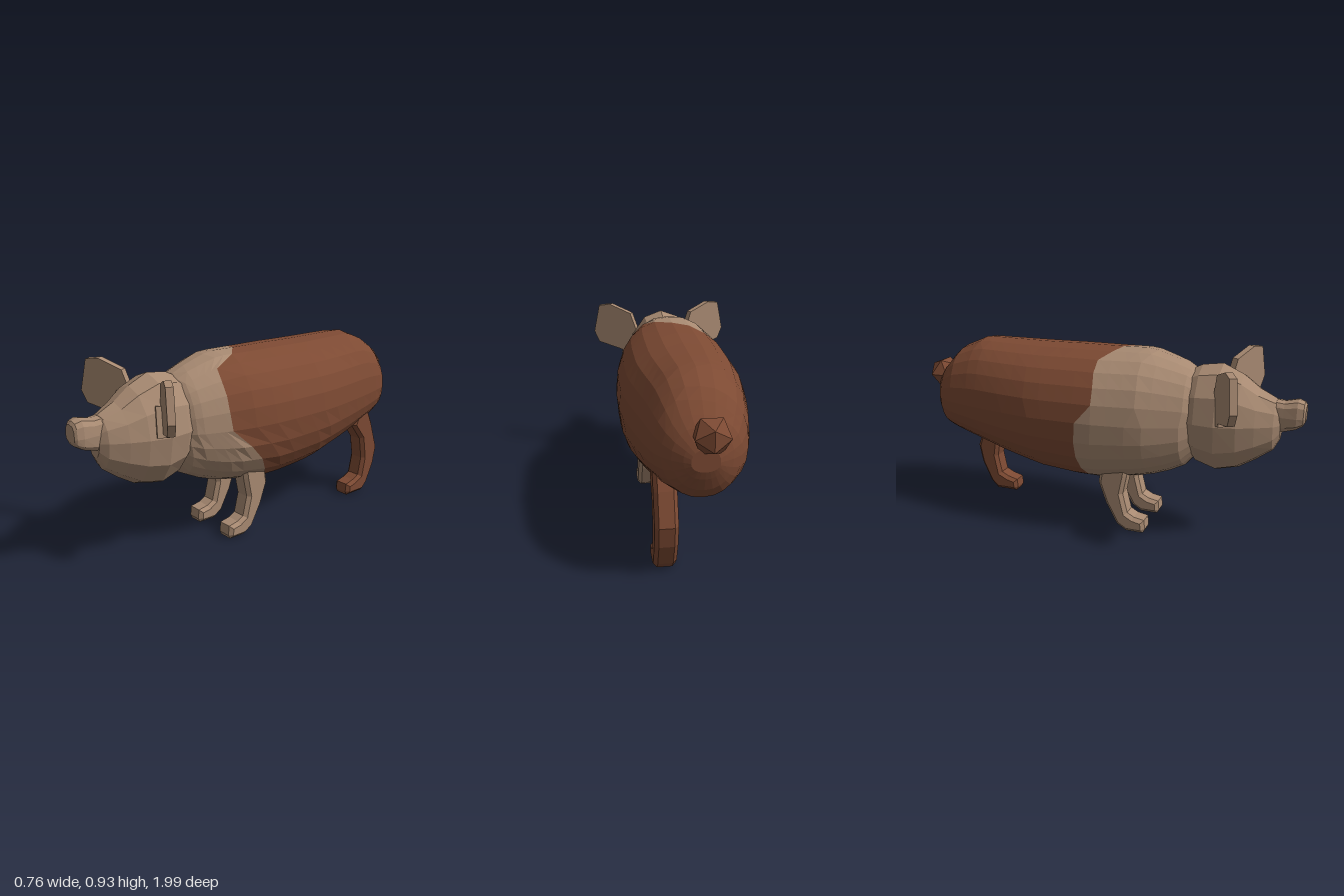
import * as THREE from 'three';

const tan = new THREE.MeshStandardMaterial({ color: 0xa88a72, flatShading: true });
tan.name = 'tan';
const brown = new THREE.MeshStandardMaterial({ color: 0x7d4a33, flatShading: true });
brown.name = 'brown';

// Cross-sections along z: [z, top, bottom, half width]
const BODY = [
  [-0.945, 0.66, 0.56, 0.06], [-0.92, 0.72, 0.48, 0.11], [-0.88, 0.77, 0.42, 0.16],
  [-0.8, 0.86, 0.4, 0.205], [-0.66, 0.92, 0.36, 0.24], [-0.5, 0.92, 0.31, 0.27],
  [-0.3, 0.92, 0.26, 0.3], [-0.1, 0.925, 0.24, 0.3], [0.02, 0.925, 0.24, 0.3],
  [0.25, 0.93, 0.28, 0.27], [0.35, 0.9, 0.31, 0.23], [0.45, 0.865, 0.36, 0.19], [0.52, 0.8, 0.45, 0.12],
];
const HEAD = [
  [0.42, 0.83, 0.5, 0.14], [0.5, 0.87, 0.38, 0.18], [0.6, 0.885, 0.345, 0.19], [0.7, 0.84, 0.37, 0.165],
  [0.78, 0.78, 0.42, 0.13], [0.86, 0.74, 0.48, 0.085], [0.89, 0.7, 0.54, 0.05],
];
const SNOUT = [
  [0.8, 0.74, 0.58, 0.05], [0.9, 0.73, 0.58, 0.055], [0.96, 0.745, 0.6, 0.058],
  [0.99, 0.735, 0.62, 0.05], [1.0, 0.72, 0.64, 0.04],
];

// z of the colour edge for each 15 degrees, from the top round by the left side
const EDGE = [0.1, 0.17, 0.3, 0.31, 0.31, 0.31, 0.3, 0.2, 0.12, 0.07, 0.03, 0,
  0, -0.01, -0.03, -0.05, -0.06, -0.06, -0.05, 0.03, 0.03, 0.02, 0.02, 0.07];

// Interpolated cross-section at z
function sectionAt(list, z) {
  let i = 0;
  while (i < list.length - 2 && z > list[i + 1][0]) i++;
  const a = list[i], b = list[i + 1];
  const t = THREE.MathUtils.clamp((z - a[0]) / (b[0] - a[0]), 0, 1);
  return a.map((v, k) => v + (b[k] - v) * t);
}

// Point on a rounded section; power below 1 makes it boxier
function ringPoint([z, top, bottom, width], angle, middle, power) {
  const bend = (v) => Math.sign(v) * Math.pow(Math.abs(v), power);
  const c = bend(Math.cos(angle));
  return [width * bend(Math.sin(angle)), middle + c * (c > 0 ? top - middle : middle - bottom), z];
}

// Skin over a list of rings running towards +z
function loft(rings, capBack, capFront) {
  const n = rings[0].length, pos = rings.flat(2), index = [];
  for (let r = 0; r < rings.length - 1; r++) {
    for (let k = 0; k < n; k++) {
      const a = r * n + k, b = r * n + (k + 1) % n;
      index.push(a, a + n, b, b, a + n, b + n);
    }
  }
  const cap = (ring, base, front) => {
    const centre = pos.length / 3;
    pos.push(...[0, 1, 2].map((d) => ring.reduce((s, p) => s + p[d], 0) / n));
    for (let k = 0; k < n; k++) {
      const a = base + k, b = base + (k + 1) % n;
      index.push(centre, ...(front ? [b, a] : [a, b]));
    }
  };
  if (capBack) cap(rings[0], 0, false);
  if (capFront) cap(rings[rings.length - 1], (rings.length - 1) * n, true);
  const g = new THREE.BufferGeometry();
  g.setAttribute('position', new THREE.Float32BufferAttribute(pos, 3));
  g.setIndex(index);
  g.computeVertexNormals();
  return g;
}

function sectionLoft(list, sides, middle, power) {
  const rings = list.map((s) => Array.from({ length: sides },
    (_, k) => ringPoint(s, (k / sides) * Math.PI * 2, middle, power)));
  return loft(rings, true, true);
}

// One side of the colour edge: zOf(edge, t) gives the z of each row
function bodyPatch(rows, zOf, capBack, capFront) {
  const rings = [];
  for (let r = 0; r <= rows; r++) {
    rings.push(EDGE.map((edge, k) =>
      ringPoint(sectionAt(BODY, zOf(edge, r / rows)), (k / 24) * Math.PI * 2, 0.6, 0.92)));
  }
  return loft(rings, capBack, capFront);
}

const shapeOf = (points) => new THREE.Shape(points.map(([x, y]) => new THREE.Vector2(x, y)));

// Leg cut from a side outline of [z, y] points
function legGeometry(outline) {
  const b = 0.018, w = 0.105;
  const g = new THREE.ExtrudeGeometry(shapeOf(outline.map(([z, y]) => [-z, y])), {
    depth: w - 2 * b, bevelThickness: b, bevelSize: b, bevelOffset: -b, bevelSegments: 1,
  });
  g.translate(0, 0, b - w / 2);
  g.rotateY(Math.PI / 2);
  return g;
}

export function createModel() {
  const model = new THREE.Group();
  model.name = 'pig';
  const add = (name, geometry, material) => {
    const mesh = new THREE.Mesh(geometry, material);
    mesh.name = name;
    model.add(mesh);
    return mesh;
  };

  // Body in two colours, meeting at the slanting edge
  add('hindBody', bodyPatch(16, (e, t) => -0.945 + (e + 0.945) * Math.pow(t, 1.6), true, false), brown);
  add('shoulders', bodyPatch(7, (e, t) => e + (0.52 - e) * t, false, true), tan);

  // Head and snout
  add('head', sectionLoft(HEAD, 12, 0.62, 1), tan);
  add('snout', sectionLoft(SNOUT, 12, 0.66, 0.65), tan);

  // Ears: thin plates swept forward, each with a block at its root
  const earOutline = [[0, 0.78], [0.035, 0.87], [0.16, 0.915], [0.23, 0.905],
    [0.265, 0.75], [0.235, 0.69], [0.09, 0.655], [0.03, 0.66]];
  for (const side of [1, -1]) {
    const name = side > 0 ? 'left' : 'right';
    const ear = add(name + 'Ear', new THREE.ExtrudeGeometry(
      shapeOf(earOutline.map(([x, y]) => [x * side, y])), { depth: 0.035, bevelEnabled: false }), tan);
    ear.position.set(0.145 * side, 0, 0.59);
    ear.rotation.y = -0.48 * side;
    const root = add(name + 'EarRoot', new THREE.BoxGeometry(0.05, 0.14, 0.06), tan);
    root.position.set(0.175 * side, 0.7, 0.64);
    root.rotation.set(0, -0.48 * side, 0.25 * side);
  }

  // Front legs
  const front = legGeometry([[0.27, 0.02], [0.265, 0.07], [0.21, 0.08], [0.175, 0.1], [0.15, 0.2],
    [0.17, 0.3], [0.18, 0.38], [0.04, 0.38], [0.02, 0.25], [0.06, 0.14], [0.12, 0.03], [0.17, 0], [0.26, 0]]);
  add('leftFrontLeg', front, tan).position.x = 0.132;
  add('rightFrontLeg', front, tan).position.x = -0.118;

  // Single hind leg on the left
  const hind = legGeometry([[-0.58, 0.02], [-0.585, 0.065], [-0.64, 0.08], [-0.68, 0.1], [-0.7, 0.2],
    [-0.68, 0.32], [-0.61, 0.41], [-0.64, 0.48], [-0.73, 0.49], [-0.77, 0.4], [-0.82, 0.25],
    [-0.8, 0.15], [-0.75, 0.04], [-0.71, 0], [-0.59, 0]]);
  add('leftHindLeg', hind, brown).position.x = 0.14;

  // Tail knob
  const tail = add('tail', new THREE.IcosahedronGeometry(0.088, 0), brown);
  tail.position.set(-0.025, 0.705, -0.92);
  return model;
}
